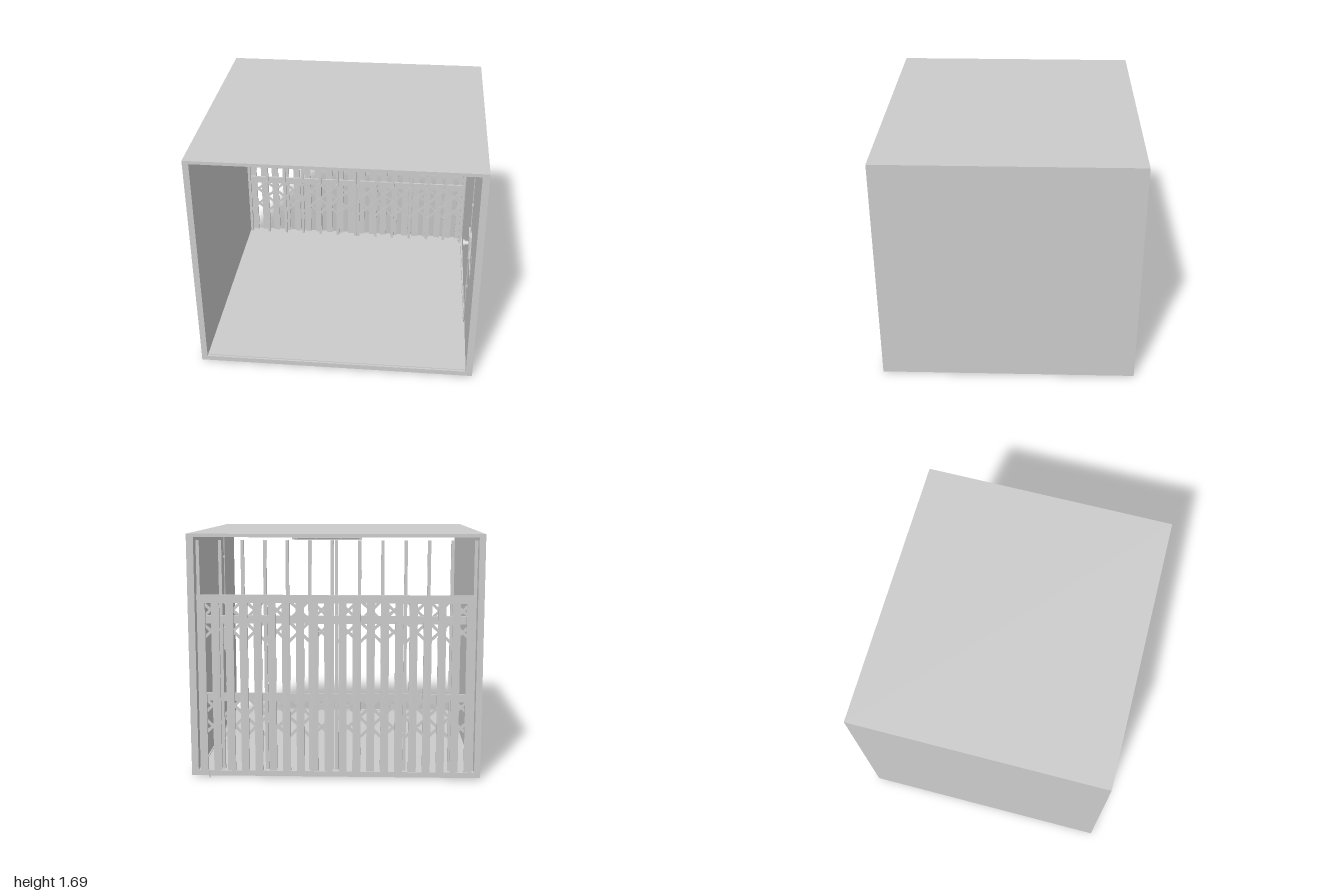
import * as THREE from 'three';

const material = new THREE.MeshStandardMaterial({ color: 0xcccccc });

function add(parent, geometry, name, x = 0, y = 0, z = 0) {
  const mesh = new THREE.Mesh(geometry, material);
  mesh.name = name;
  mesh.position.set(x, y, z);
  parent.add(mesh);
  return mesh;
}

// Box given by its minimum and maximum on each axis
function block(parent, name, x0, x1, y0, y1, z0, z1) {
  return add(parent, new THREE.BoxGeometry(x1 - x0, y1 - y0, z1 - z0), name,
    (x0 + x1) / 2, (y0 + y1) / 2, (z0 + z1) / 2);
}

function cable(parent, name, points, radius = 0.004) {
  const path = new THREE.CurvePath();
  const v = points.map((p) => new THREE.Vector3(...p));
  for (let i = 1; i < v.length; i++) path.add(new THREE.LineCurve3(v[i - 1], v[i]));
  add(parent, new THREE.TubeGeometry(path, points.length * 16, radius, 6), name);
}

// Rectangular tunnel open at the front and back
function buildRoom() {
  const room = new THREE.Group();
  room.name = 'room';
  const rect = (p, x0, y0, x1, y1) =>
    p.moveTo(x0, y0).lineTo(x1, y0).lineTo(x1, y1).lineTo(x0, y1).closePath();
  const shape = new THREE.Shape();
  rect(shape, -1, 0.015, 1, 1.69);
  const hole = new THREE.Path();
  rect(hole, -0.957, 0.052, 0.952, 1.667);
  shape.holes.push(hole);
  add(room, new THREE.ExtrudeGeometry(shape, { depth: 1.815, bevelEnabled: false }), 'walls', 0, 0, -0.9);
  block(room, 'threshold', -0.955, 0.95, 0.05, 0.057, 0.87, 0.9);
  return room;
}

// Slatted fence closing the lower part of the back
function buildFence() {
  const fence = new THREE.Group();
  fence.name = 'fence';
  for (let i = 0; i < 20; i++) {
    const x = -0.9125 + i * 0.096;
    block(fence, 'fenceSlat', x - 0.0275, x + 0.0275, 0.05, 1.24, -0.897, -0.88);
  }
  block(fence, 'topRail', -0.94, 0.94, 1.225, 1.28, -0.898, -0.879);
  block(fence, 'upperRail', -0.94, 0.94, 1.083, 1.138, -0.88, -0.865);
  block(fence, 'lowerRail', -0.94, 0.94, 0.543, 0.6, -0.88, -0.865);
  return fence;
}

// One leaf of the folding gate: uprights joined by scissor lattice
function buildGateLeaf(x0, x1) {
  const leaf = new THREE.Group();
  leaf.name = 'gateLeaf';
  const step = (x1 - x0) / 6;
  const strip = (xa, ya, xb, yb, z) => {
    const length = Math.hypot(xb - xa, yb - ya) + 0.012;
    const mesh = add(leaf, new THREE.BoxGeometry(length, 0.02, 0.005), 'latticeStrip',
      (xa + xb) / 2, (ya + yb) / 2, z);
    mesh.rotation.z = Math.atan2(yb - ya, xb - xa);
  };
  for (let i = 0; i <= 6; i++) {
    const x = x0 + i * step;
    block(leaf, 'gateUpright', x - 0.011, x + 0.011, 0.05, 1.645, -0.86, -0.838);
    for (const top of [1.242, 0.572]) {
      for (let row = 0; row < 3; row++) {
        const rivet = add(leaf, new THREE.CylinderGeometry(0.008, 0.008, 0.018, 8), 'rivet',
          x, top - row * 0.147, -0.831);
        rivet.rotation.x = Math.PI / 2;
      }
      if (i === 6) continue;
      for (let row = 0; row < 2; row++) {
        const a = top - row * 0.147, b = a - 0.147;
        strip(x, a, x + step, b, -0.835);
        strip(x, b, x + step, a, -0.829);
      }
    }
  }
  return leaf;
}

// Ceiling lamp with a long tube held by clips
function buildLamp() {
  const lamp = new THREE.Group();
  lamp.name = 'ceilingLamp';
  block(lamp, 'lampHousing', -0.17, 0.365, 1.632, 1.667, -0.04, 0.04);
  for (const x of [-0.16, 0.355]) block(lamp, 'lampEnd', x - 0.01, x + 0.01, 1.605, 1.64, -0.035, 0.035);
  for (const z of [-0.018, 0.018]) {
    const tube = add(lamp, new THREE.CylinderGeometry(0.012, 0.012, 0.51, 12), 'lampTube', 0.0975, 1.619, z);
    tube.rotation.z = Math.PI / 2;
  }
  for (const x of [-0.01, 0.18, 0.33]) block(lamp, 'lampClip', x - 0.005, x + 0.005, 1.612, 1.635, -0.034, 0.034);
  return lamp;
}

// Wall switch, socket and the cables that feed them
function buildWiring() {
  const wiring = new THREE.Group();
  wiring.name = 'wiring';
  block(wiring, 'switchPlate', 0.932, 0.954, 0.7, 0.885, 0.26, 0.41);
  for (const [radius, length, x] of [[0.018, 0.03, 0.918], [0.028, 0.014, 0.9]]) {
    const knob = add(wiring, new THREE.CylinderGeometry(radius, radius, length, 16), 'switchKnob', x, 0.79, 0.335);
    knob.rotation.z = Math.PI / 2;
  }
  cable(wiring, 'lampCable', [[0.36, 1.66, 0], [0.944, 1.66, 0], [0.944, 1.66, 0.335], [0.944, 0.88, 0.335]]);
  cable(wiring, 'hangingCable', [[0.945, 0.8, 0.4], [0.945, 0.69, 0.5], [0.945, 0.66, 0.6],
    [0.945, 0.87, 0.62]]);
  cable(wiring, 'supplyCable', [[0.944, 0.7, 0.335], [0.944, 0.06, 0.335], [0.935, 0.06, -0.8],
    [0.88, 0.058, -0.89], [0.877, 0.045, -0.908], [0.875, 0.02, -0.911], [0.873, 0.004, -0.911]]);
  for (const y of [1.45, 1.12, 0.4]) block(wiring, 'cableClip', 0.936, 0.954, y - 0.008, y + 0.008, 0.327, 0.343);
  return wiring;
}

export function createModel() {
  const model = new THREE.Group();
  model.name = 'gatedRoom';
  model.add(buildRoom(), buildFence(), buildGateLeaf(-0.942, -0.007),
    buildGateLeaf(0.022, 0.932), buildLamp(), buildWiring());
  return model;
}
